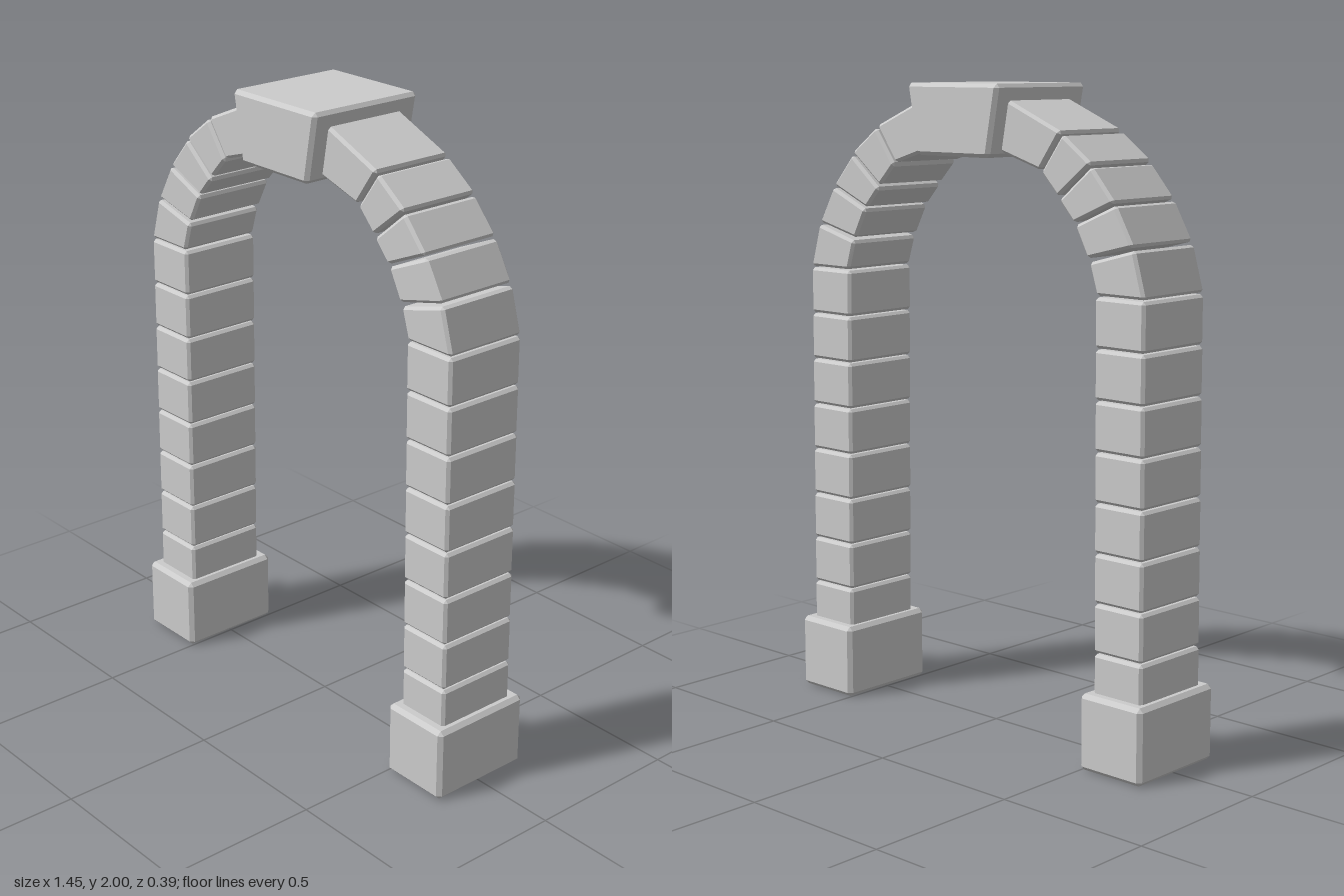
import * as THREE from 'three';
import { ConvexGeometry } from 'three/addons/geometries/ConvexGeometry.js';

const material = new THREE.MeshStandardMaterial({ color: 0xcccccc, flatShading: true });

// Stone with chamfered edges: four outline corners in order, extended to z = +-halfDepth
function stone(name, outline, halfDepth, bevel) {
  const points = [];
  const dir = (a, b) => new THREE.Vector3(b[0] - a[0], b[1] - a[1], 0).normalize().multiplyScalar(bevel);
  outline.forEach((c, i) => {
    const next = dir(c, outline[(i + 1) % 4]);
    const prev = dir(c, outline[(i + 3) % 4]);
    for (const s of [-1, 1]) {
      const corner = new THREE.Vector3(c[0], c[1], s * halfDepth);
      const inward = new THREE.Vector3(0, 0, -s * bevel);
      for (const [a, b] of [[next, prev], [next, inward], [prev, inward]]) {
        points.push(corner.clone().add(a).add(b));
      }
    }
  });
  const mesh = new THREE.Mesh(new ConvexGeometry(points), material);
  mesh.name = name;
  return mesh;
}

const rect = (x0, x1, y0, y1) => [[x0, y0], [x1, y0], [x1, y1], [x0, y1]];

// Wedge stones of the curve on +x: lower inner, lower outer, upper outer, upper inner
const wedges = [
  [[0.517, 1.408], [0.694, 1.408], [0.655, 1.545], [0.488, 1.5]],
  [[0.482, 1.511], [0.65, 1.553], [0.585, 1.667], [0.434, 1.602]],
  [[0.43, 1.609], [0.581, 1.674], [0.495, 1.772], [0.373, 1.671]],
  [[0.369, 1.68], [0.494, 1.78], [0.385, 1.86], [0.304, 1.748]],
  [[0.3, 1.754], [0.38, 1.866], [0.165, 1.957], [0.13, 1.806]],
];

export function createModel() {
  const arch = new THREE.Group();
  arch.name = 'stoneArch';

  for (const side of [1, -1]) {
    const half = new THREE.Group();
    half.name = side > 0 ? 'leftHalf' : 'rightHalf';
    const add = (name, outline, depth, bevel) =>
      half.add(stone(name, outline.map(([x, y]) => [x * side, y]), depth, bevel));

    // Base block
    add('base', rect(0.495, 0.727, 0, 0.235), 0.173, 0.013);

    // Stacked pillar stones, drifting very slightly inward
    for (let i = 0; i < 8; i++) {
      const y = 0.207 + i * 0.15;
      const shift = -0.001 * i;
      add('pillarStone', rect(0.519 + shift, 0.701 + shift, y, y + 0.146), 0.139, 0.009);
    }

    // Curved upper part
    wedges.forEach((w) => add('archStone', w, 0.139, 0.009));
    arch.add(half);
  }

  // Keystone
  arch.add(stone('keystone', [[-0.148, 1.785], [0.148, 1.785], [0.188, 2], [-0.188, 2]], 0.197, 0.012));
  return arch;
}
